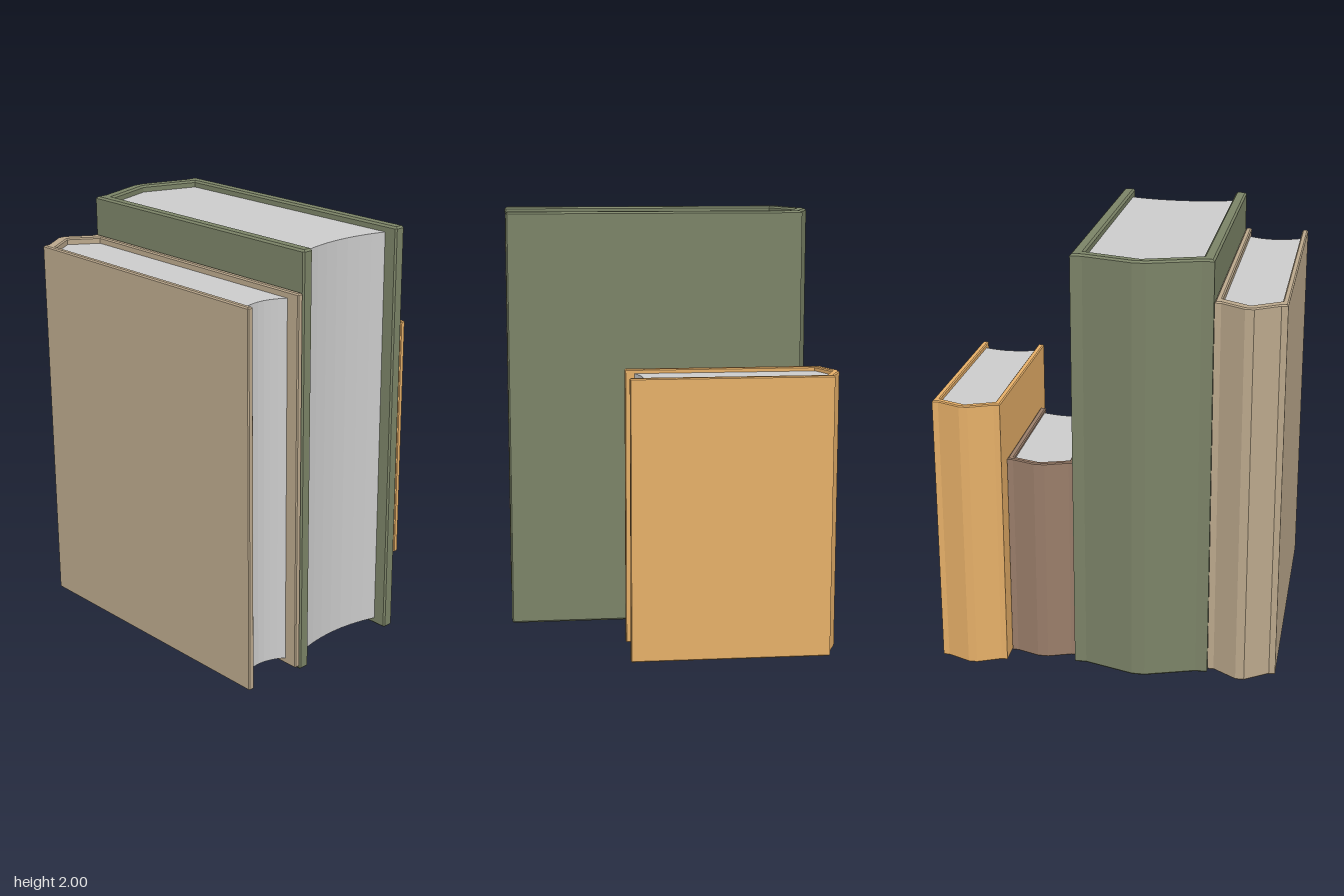
import * as THREE from 'three';

// Points are (x, z) seen from above; the result stands from y0 to y1.
function standingPrism(points, y0, y1, bevel) {
  const shape = new THREE.Shape(points.map(([x, z]) => new THREE.Vector2(x, -z)));
  const geometry = new THREE.ExtrudeGeometry(shape, {
    depth: y1 - y0 - 2 * bevel,
    bevelEnabled: bevel > 0,
    bevelThickness: bevel,
    bevelSize: bevel,
    bevelOffset: -bevel,
    bevelSegments: 1,
  });
  geometry.rotateX(-Math.PI / 2);
  geometry.translate(0, y0 + bevel, 0);
  return geometry;
}

function makeBook(b) {
  const book = new THREE.Group();
  book.name = b.name;
  const mid = (b.z0 + b.z1) / 2;
  const half = (b.z1 - b.z0) / 2;
  const inner = half - b.board;
  const corner = b.bevel * 0.8;

  // Cover: two boards joined by a pointed spine, one half mirrored
  const outerHalf = [
    [b.fore - corner, half], [b.joint, half], [b.joint, inner],
    [b.tip, b.flat],
  ];
  const innerHalf = [[b.innerJoint, inner], [b.fore - corner, inner]];
  const outline = [
    [b.fore, half - corner], ...outerHalf,
    ...outerHalf.map(([x, z]) => [x, -z]).reverse(),
    [b.fore, -half + corner], [b.fore, -inner - corner],
    ...innerHalf.map(([x, z]) => [x, -z]).reverse(),
    [b.innerTip, 0],
    ...innerHalf, [b.fore, inner + corner],
  ].map(([x, z]) => [x, z + mid]);
  const cover = new THREE.Mesh(
    standingPrism(outline, b.y0, b.y1, b.bevel),
    new THREE.MeshStandardMaterial({ color: b.color, flatShading: true }),
  );
  cover.name = 'cover';

  // Page block: fits the spine and has a hollow fore edge
  const pageOutline = [[b.innerJoint, inner], [b.innerTip, 0], [b.innerJoint, -inner]];
  const steps = 8;
  for (let i = 0; i <= steps; i++) {
    const t = -1 + (2 * i) / steps;
    pageOutline.push([b.pageMid + (b.pageEdge - b.pageMid) * t * t, t * inner]);
  }
  const pages = new THREE.Mesh(
    standingPrism(pageOutline.map(([x, z]) => [x, z + mid]), b.y0 + b.inset, b.y1 - b.inset, 0),
    new THREE.MeshStandardMaterial({ color: 0xcccccc, flatShading: true }),
  );
  pages.name = 'pages';

  book.add(cover, pages);
  return book;
}

const books = [
  { name: 'tanBook', color: 0xbba88c, z0: 0.477, z1: 0.795, y0: 0.02, y1: 1.815, board: 0.029,
    fore: 0.745, joint: -0.665, tip: -0.74, flat: 0.02, innerJoint: -0.605, innerTip: -0.692,
    pageEdge: 0.68, pageMid: 0.635, inset: 0.03, bevel: 0.006 },
  { name: 'greenBook', color: 0x7b8367, z0: -0.159, z1: 0.475, y0: 0, y1: 2, board: 0.055,
    fore: 0.745, joint: -0.665, tip: -0.74, flat: 0.03, innerJoint: -0.605, innerTip: -0.692,
    pageEdge: 0.68, pageMid: 0.635, inset: 0.032, bevel: 0.009 },
  { name: 'brownBook', color: 0x997d69, z0: -0.48, z1: -0.162, y0: 0, y1: 1, board: 0.028,
    fore: 0.105, joint: -0.6, tip: -0.638, flat: 0.025, innerJoint: -0.572, innerTip: -0.616,
    pageEdge: 0.07, pageMid: 0.045, inset: 0.015, bevel: 0.005 },
  { name: 'orangeBook', color: 0xe6af68, z0: -0.797, z1: -0.482, y0: 0, y1: 1.3, board: 0.028,
    fore: 0.215, joint: -0.7, tip: -0.748, flat: 0.02, innerJoint: -0.665, innerTip: -0.72,
    pageEdge: 0.17, pageMid: 0.143, inset: 0.02, bevel: 0.005 },
];

export function createModel() {
  const group = new THREE.Group();
  group.name = 'bookStack';
  for (const b of books) group.add(makeBook(b));
  return group;
}
